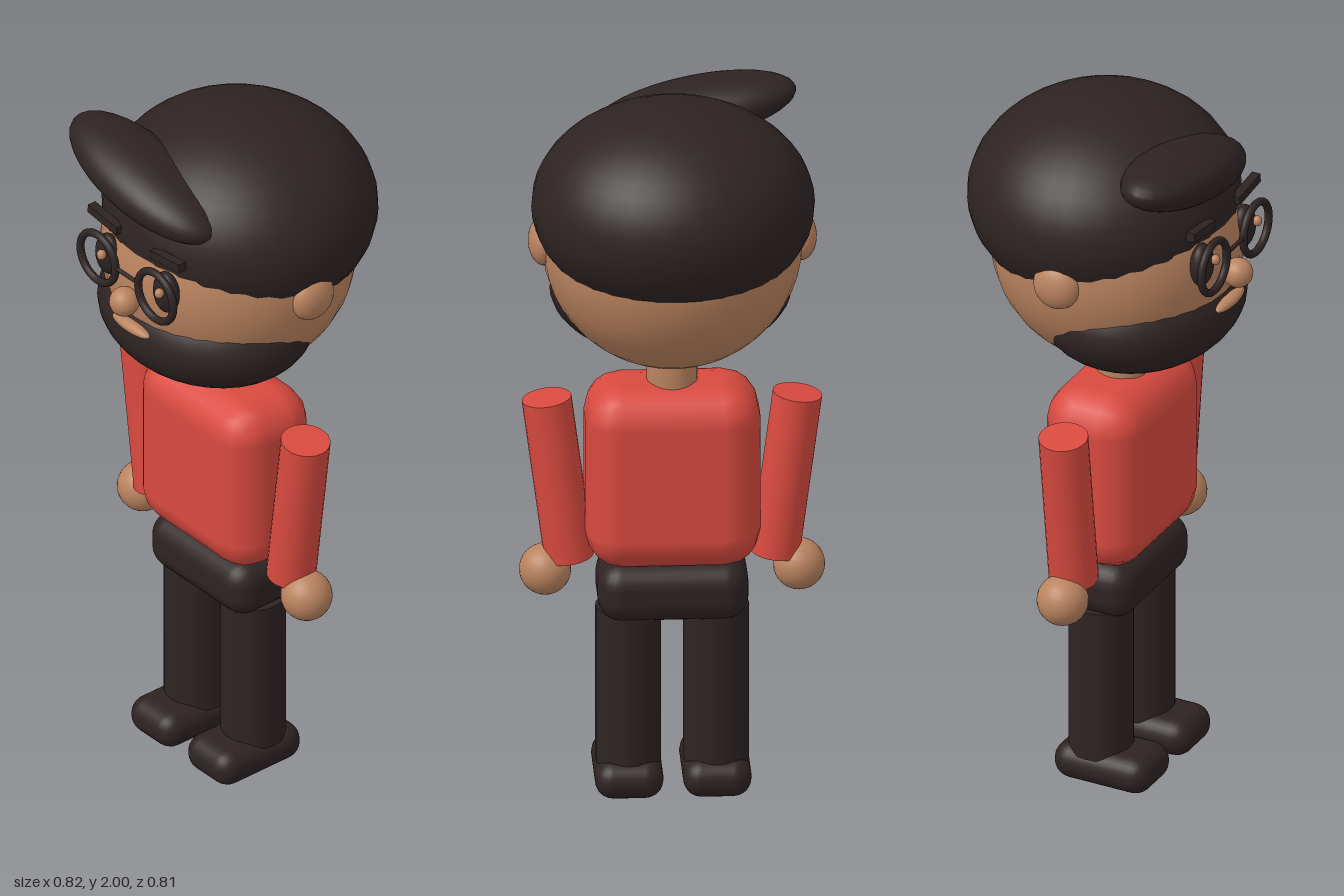
import * as THREE from 'three';
import { RoundedBoxGeometry } from 'three/addons/geometries/RoundedBoxGeometry.js';

const mat = (name, color) => {
  const m = new THREE.MeshStandardMaterial({ color });
  m.name = name;
  return m;
};

export function createModel() {
  const model = new THREE.Group();
  model.name = 'beardedFigure';
  const skin = mat('skin', 0xba835f);
  const dark = mat('dark', 0x2e2323);
  const red = mat('red', 0xd94a3f);

  const add = (name, geometry, material, x, y, z, rotZ = 0) => {
    const mesh = new THREE.Mesh(geometry, material);
    mesh.name = name;
    mesh.position.set(x, y, z);
    mesh.rotation.z = rotZ;
    model.add(mesh);
    return mesh;
  };
  const ellipsoid = (rx, ry, rz, w = 32, h = 24) =>
    new THREE.SphereGeometry(1, w, h).scale(rx, ry, rz);
  const bodyZ = 0.013;

  // Head, hair and beard: overlapping ellipsoids
  add('head', ellipsoid(0.35, 0.35, 0.34), skin, 0, 1.6, 0);
  add('hair', ellipsoid(0.38, 0.28, 0.365), dark, 0, 1.72, -0.04);
  add('quiff', ellipsoid(0.28, 0.08, 0.125), dark, -0.07, 1.878, 0.235, -0.2);
  add('beard', ellipsoid(0.325, 0.18, 0.27), dark, 0, 1.435, 0.075);

  // Face
  add('nose', ellipsoid(0.041, 0.041, 0.041, 24, 16), skin, 0, 1.57, 0.364);
  add('mouth', ellipsoid(0.075, 0.016, 0.02, 24, 12), skin, 0, 1.48, 0.34);
  add('glassesBridge', new THREE.CylinderGeometry(0.006, 0.006, 0.09, 12), dark, 0, 1.65, 0.355, Math.PI / 2);

  // Neck and trunk
  add('neck', new THREE.CylinderGeometry(0.068, 0.068, 0.16, 24), skin, 0, 1.23, bodyZ);
  add('torso', new RoundedBoxGeometry(0.47, 0.52, 0.285, 2, 0.1), red, 0, 0.93, bodyZ);
  add('hips', new RoundedBoxGeometry(0.405, 0.165, 0.235, 3, 0.065), dark, 0, 0.597, bodyZ);

  // Paired parts
  for (const [side, s] of [['left', 1], ['right', -1]]) {
    add(side + 'Ear', ellipsoid(0.042, 0.067, 0.067, 24, 16), skin, s * 0.345, 1.605, -0.003);
    add(side + 'Eye', ellipsoid(0.043, 0.062, 0.03, 24, 16), dark, s * 0.12, 1.643, 0.318);
    add(side + 'EyeGlint', ellipsoid(0.013, 0.015, 0.013, 16, 12), skin, s * 0.12 + 0.012, 1.66, 0.353);
    add(side + 'GlassesRim', new THREE.TorusGeometry(0.073, 0.011, 12, 32), dark, s * 0.12, 1.645, 0.355);
    add(side + 'Brow', new THREE.BoxGeometry(0.12, 0.025, 0.025), dark, s * 0.13, 1.752, 0.32, s * 0.12);
    add(side + 'Arm', new THREE.CylinderGeometry(0.067, 0.067, 0.465, 24), red, s * 0.306, 0.91, bodyZ, -s * 0.13);
    add(side + 'Hand', ellipsoid(0.07, 0.07, 0.07, 24, 16), skin, s * 0.34, 0.643, bodyZ);
    add(side + 'Leg', new THREE.CylinderGeometry(0.088, 0.088, 0.45, 24), dark, s * 0.118, 0.31, bodyZ);
    add(side + 'Shoe', new RoundedBoxGeometry(0.184, 0.105, 0.288, 3, 0.05), dark, s * 0.118, 0.0525, 0.045);
  }
  return model;
}
